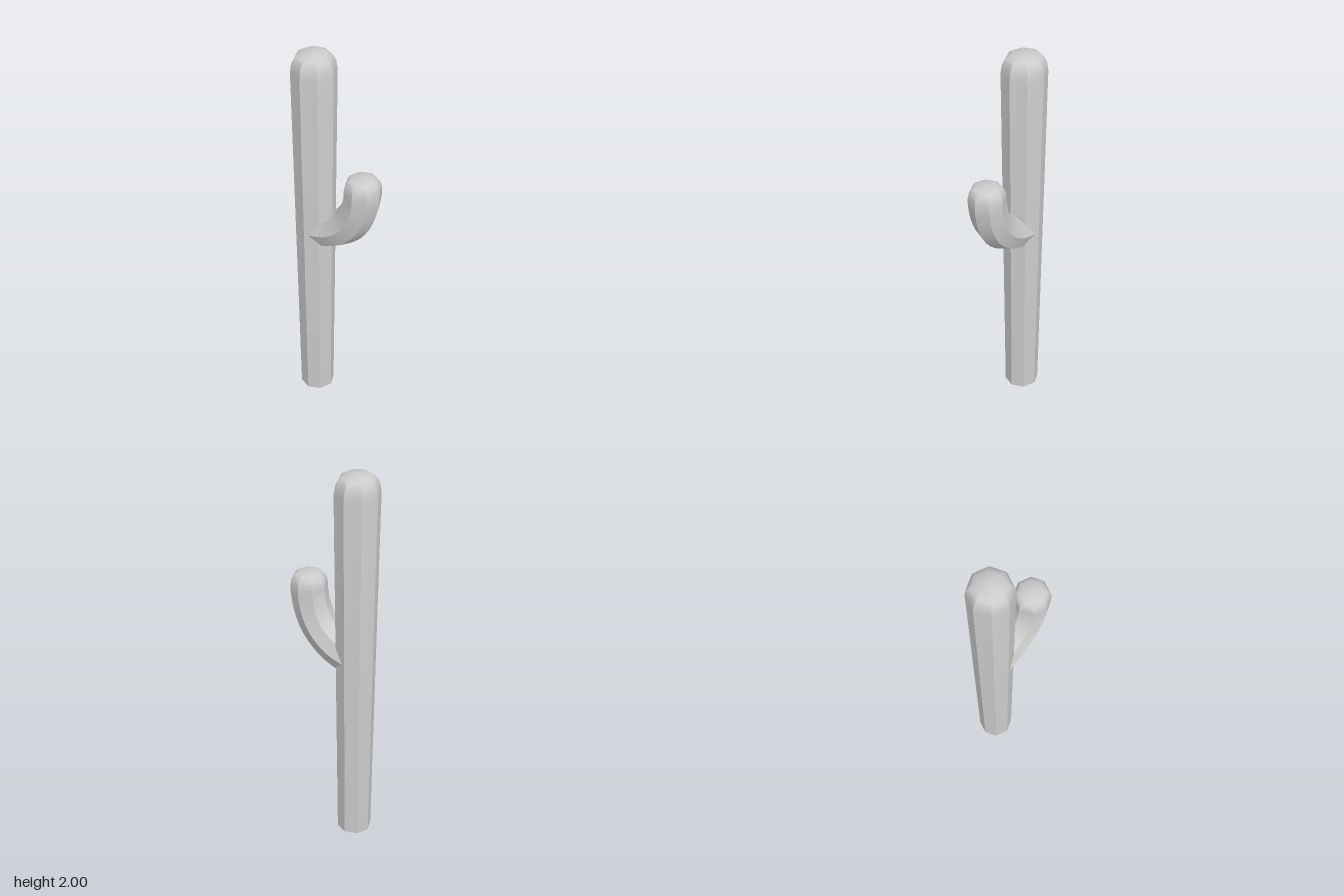
import * as THREE from 'three';
import { toCreasedNormals } from 'three/addons/utils/BufferGeometryUtils.js';

const SIDES = 8;
const material = new THREE.MeshStandardMaterial({ color: 0xcccccc, side: THREE.DoubleSide });

// Sweeps an octagon along stations [x, y, radius] lying in the z = 0 plane
function sweep(name, stations) {
  const positions = [], index = [];
  stations.forEach(([x, y, r], i) => {
    const a = stations[Math.max(i - 1, 0)];
    const b = stations[Math.min(i + 1, stations.length - 1)];
    const t = new THREE.Vector2(b[0] - a[0], b[1] - a[1]).normalize();
    for (let s = 0; s < SIDES; s++) {
      const angle = (s / SIDES) * Math.PI * 2;
      const c = Math.cos(angle) * r;
      positions.push(x + t.y * c, y - t.x * c, Math.sin(angle) * r);
      if (i === 0) continue;
      const n = (s + 1) % SIDES, lo = (i - 1) * SIDES, hi = i * SIDES;
      index.push(lo + s, hi + s, lo + n);
      // the last ring closes to a point, so it needs one triangle per side
      if (r > 0) index.push(hi + s, hi + n, lo + n);
    }
  });
  const geometry = new THREE.BufferGeometry();
  geometry.setAttribute('position', new THREE.Float32BufferAttribute(positions, 3));
  geometry.setIndex(index);
  const mesh = new THREE.Mesh(toCreasedNormals(geometry, 0.7), material);
  mesh.name = name;
  return mesh;
}

// Rounded tip: rings shrinking to an apex
function dome(x, top, r, height) {
  return [[0, 1], [0.45, 0.94], [0.75, 0.8], [0.93, 0.55], [1, 0]]
    .map(([h, k]) => [x, top - height * (1 - h), r * k]);
}

export function createModel() {
  const group = new THREE.Group();
  group.name = 'cactus';

  // Trunk: open at the base, widening slightly upwards
  group.add(sweep('trunk', [[-0.13, 0, 0.087], ...dome(-0.13, 2, 0.11, 0.1)]));

  // Arm: leaves the trunk and bends upwards
  const bend = new THREE.CatmullRomCurve3([
    [-0.13, 1.025], [-0.04, 1.048], [0.03, 1.088], [0.09, 1.15], [0.13, 1.235], [0.148, 1.32],
  ].map(([x, y]) => new THREE.Vector3(x, y, 0)));
  const stem = bend.getPoints(12).map((p) => [p.x, p.y, 0.092]);
  group.add(sweep('arm', [...stem, ...dome(0.148, 1.423, 0.092, 0.07)]));

  return group;
}
